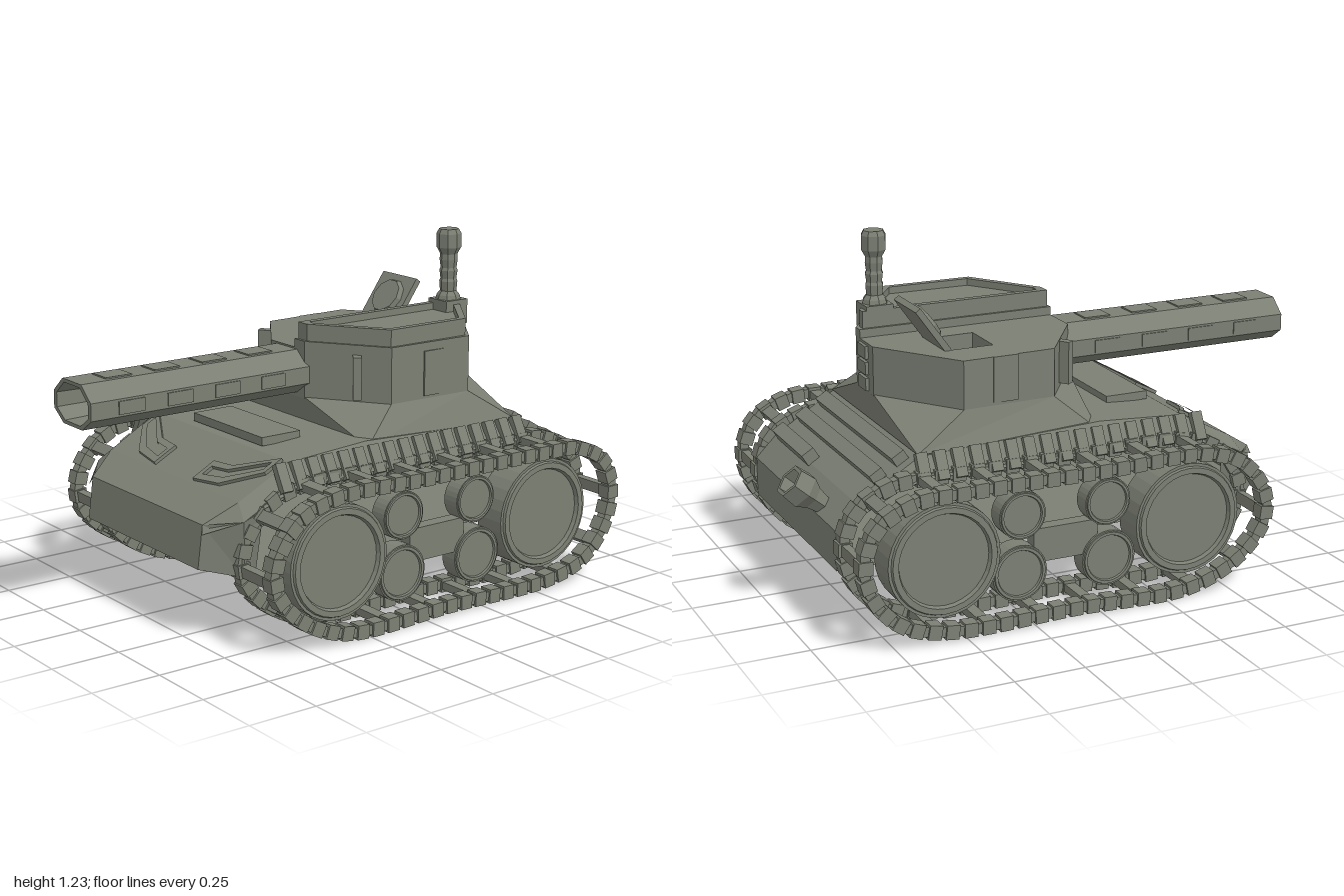
import * as THREE from 'three';

const solid = new THREE.MeshStandardMaterial({ color: 0x7b7f73, flatShading: true });
const shell = solid.clone();
shell.side = THREE.DoubleSide;

function add(parent, name, geometry, x = 0, y = 0, z = 0, material = solid) {
  const m = new THREE.Mesh(geometry, material);
  m.name = name;
  m.position.set(x, y, z);
  parent.add(m);
  return m;
}
const box = (parent, name, w, h, d, x, y, z) => add(parent, name, new THREE.BoxGeometry(w, h, d), x, y, z);

// Skin between successive rings of [x, y, z] points
function loft(rings, closed = true) {
  const n = rings[0].length, index = [];
  for (let r = 0; r + 1 < rings.length; r++)
    for (let i = 0; i < (closed ? n : n - 1); i++) {
      const j = (i + 1) % n, a = r * n + i, b = r * n + j;
      index.push(a, b, b + n, a, b + n, a + n);
    }
  const g = new THREE.BufferGeometry();
  g.setAttribute('position', new THREE.Float32BufferAttribute(rings.flat(2), 3));
  g.setIndex(index);
  g.computeVertexNormals();
  return g;
}

// Upright prism over an outline of [x, z] points, with an optional hole
function prism(outline, y0, y1, hole) {
  const pts = (list) => list.map(([x, z]) => new THREE.Vector2(x, -z));
  const shape = new THREE.Shape(pts(outline));
  if (hole) shape.holes.push(new THREE.Path(pts(hole)));
  return new THREE.ExtrudeGeometry(shape, { depth: y1 - y0, bevelEnabled: false })
    .rotateX(-Math.PI / 2).translate(0, y0, 0);
}

function buildHull(parent) {
  const hull = new THREE.Group();
  hull.name = 'hull';
  parent.add(hull);
  // Side outline as [x, y, half width], run once around the body
  const loop = [[0.78, 0.175, 0.33], [0.87, 0.21, 0.41], [0.87, 0.35, 0.41], [0.79, 0.43, 0.41],
    [0.66, 0.51, 0.41], [0.57, 0.565, 0.41], [-0.1, 0.595, 0.41], [-0.42, 0.575, 0.41], [-0.62, 0.47, 0.4],
    [-0.73, 0.4, 0.35], [-0.75, 0.25, 0.35], [-0.55, 0.2, 0.38], [0.78, 0.175, 0.33]];
  add(hull, 'hullShell', loft(loop.map(([x, y, w]) => [[x, y, w], [x, y, -w]]), false), 0, 0, 0, shell);
  // Flared skirts over the tracks and the nose cheeks
  const edge = [[0.87, 0.35, 0.41], [0.8, 0.4, 0.45], [0.67, 0.47, 0.46], [0.57, 0.5, 0.46], [-0.1, 0.5, 0.46],
    [-0.42, 0.5, 0.46], [-0.64, 0.42, 0.46], [-0.74, 0.37, 0.36]];
  for (const s of [1, -1]) {
    add(hull, 'skirt', loft(edge.map(([x, y, w], i) => {
      const [tx, ty, tw] = loop[i + 2];
      return [[tx, ty, s * tw], [x, y, s * w]];
    }), false), 0, 0, 0, shell);
    add(hull, 'noseCheek', loft([
      [[-0.73, 0.4, s * 0.35], [-0.75, 0.25, s * 0.35]],
      [[-0.64, 0.42, s * 0.46], [-0.64, 0.23, s * 0.46]],
      [[-0.56, 0.46, s * 0.46], [-0.57, 0.21, s * 0.42]]], false), 0, 0, 0, shell);
    for (let i = 0; i < 17; i++) {
      const fin = box(hull, 'skirtFin', 0.04, 0.1, 0.025, -0.47 + i * 0.065, 0.535, s * 0.44);
      fin.rotation.x = -s * 0.5;
    }
    // Framed vents on the sloping front plate
    const vent = add(hull, 'frontVent', prism(
      [[-0.08, s * 0.12], [-0.06, s * 0.25], [0.05, s * 0.38], [0.13, s * 0.38], [0.03, s * 0.22], [0.02, s * 0.12]], 0, 0.012,
      [[-0.05, s * 0.14], [-0.03, s * 0.24], [0.06, s * 0.36], [0.1, s * 0.36], [0.005, s * 0.22], [-0.005, s * 0.14]]),
    -0.54, 0.513, 0);
    vent.rotation.z = 0.48;
  }
  box(hull, 'deckPlate', 0.16, 0.03, 0.42, -0.31, 0.595, 0);
  // Rear racks
  for (const [x, y, w, z] of [[0.62, 0.55, 0.74, 0], [0.7, 0.5, 0.74, 0], [0.79, 0.455, 0.32, 0.205]])
    box(hull, 'rearRack', 0.05, 0.045, w, x, y, z).rotation.z = -0.55;
  // Hexagonal exhaust cup
  const cup = [[0.035, -0.1], [0.045, -0.05], [0.066, -0.01], [0.06, 0.05], [0.046, 0.05], [0.042, 0], [0, 0]];
  const exhaust = add(hull, 'exhaust',
    new THREE.LatheGeometry(cup.map((p) => new THREE.Vector2(...p)), 6), 0.917, 0.44, -0.205, shell);
  exhaust.rotation.z = -0.85;
}

function buildTurret(parent) {
  const turret = new THREE.Group();
  turret.name = 'turret';
  parent.add(turret);
  const half = [[-0.13, 0.1], [0.05, 0.36], [0.39, 0.37], [0.6, 0.08]];
  const mirror = (list) => list.map(([x, z]) => [x, -z]).reverse();
  const ring = [...half, ...mirror(half)];
  // Collar blending the faceted turret into a rectangular foot
  const foot = ring.map(([x, z], i) => [[0, 1, 6, 7].includes(i) ? -0.09 : 0.575, 0.57, Math.sign(z) * 0.41]);
  add(turret, 'collar', loft([foot, ring.map(([x, z]) => [x, 0.69, z])]), 0, 0, 0, shell);
  add(turret, 'lowerBody', prism(ring, 0.685, 0.76));
  add(turret, 'tallSide', prism([[-0.13, 0.04], ...half, [0.6, 0.04]], 0.76, 0.89));
  add(turret, 'lowSide', prism([[0.6, 0.04], ...mirror(half), [-0.13, 0.04]], 0.76, 0.86,
    [[0.22, -0.23], [0.4, -0.23], [0.4, -0.06], [0.22, -0.06]]));
  // Raised rim around a sunken roof panel
  const outer = [[-0.12, 0.05], [-0.12, 0.1], [0.055, 0.35], [0.385, 0.355], [0.585, 0.08], [0.585, 0.05]];
  const inner = [[-0.09, 0.075], [-0.09, 0.1], [0.07, 0.325], [0.375, 0.33], [0.55, 0.085], [0.55, 0.075]];
  add(turret, 'roofRim', prism(outer, 0.89, 0.95, inner));
  add(turret, 'roofPanel', prism(inner, 0.89, 0.925));
  // Open hatch lid
  const lid = new THREE.Group();
  lid.name = 'hatchLid';
  lid.position.set(0.44, 0.935, -0.138);
  lid.rotation.z = 0.95;
  turret.add(lid);
  box(lid, 'lidPlate', 0.19, 0.022, 0.195, 0, 0, 0);
  add(lid, 'lidBoss', new THREE.CylinderGeometry(0.065, 0.075, 0.02, 10), 0, 0.018, 0);
  // Side doors, vision blocks and rear steps
  for (const s of [1, -1]) {
    box(turret, 'sideDoor', 0.09, 0.16, 0.02, 0.235, 0.78, s * 0.36);
    const block = box(turret, 'visionBlock', 0.09, 0.15, 0.03, -0.02, 0.78, s * 0.255);
    block.rotation.y = s * 0.96;
  }
  for (const y of [0.715, 0.772, 0.828]) box(turret, 'rearStep', 0.02, 0.045, 0.075, 0.602, y, 0);
  // Ribbed periscope on a small block
  box(turret, 'periscopeBase', 0.1, 0.09, 0.1, 0.52, 0.92, 0.1);
  const mast = [[0, 0.95], [0.05, 0.95], [0.042, 0.98], [0.03, 0.995], [0.033, 1.03], [0.029, 1.04], [0.033, 1.07],
    [0.029, 1.08], [0.033, 1.11], [0.031, 1.13], [0.045, 1.155], [0.045, 1.205], [0.036, 1.222], [0, 1.222]];
  add(turret, 'periscope', new THREE.LatheGeometry(mast.map((p) => new THREE.Vector2(...p)), 8), 0.52, 0, 0.1);
}

function buildGun(parent) {
  const gun = new THREE.Group();
  gun.name = 'gun';
  gun.position.set(0, 0.777, -0.005);
  parent.add(gun);
  // Flattened octagonal barrel with a hollow muzzle
  const oct = [[0.077, 0.06], [0.025, 0.12], [-0.035, 0.12], [-0.077, 0.06]];
  const section = [...oct, ...oct.map(([y, z]) => [y, -z]).reverse()];
  const at = (x, k) => section.map(([y, z]) => [x, y * k, z * k]);
  add(gun, 'barrel', loft([at(-0.05, 1), at(-1, 1), at(-1, 0.84), at(-0.85, 0.78), at(-0.85, 0)]), 0, 0, 0, shell);
  for (let i = 0; i < 4; i++) {
    const x = -0.845 + i * 0.19;
    box(gun, 'topPlate', 0.1, 0.012, 0.085, x, 0.076, 0);
    for (const s of [1, -1]) box(gun, 'sidePlate', 0.1, 0.045, 0.01, x, -0.005, s * 0.119);
  }
}

function buildRunningGear(parent, s) {
  const gear = new THREE.Group();
  gear.name = s > 0 ? 'frontTrackUnit' : 'backTrackUnit';
  parent.add(gear);
  // Stepped wheels
  const wheel = (name, r, w, x, y, z) => {
    const p = [[0, 0.4], [0.8, 0.4], [0.83, 0.5], [0.93, 0.5], [0.95, 0.44], [1, 0.44]];
    const profile = [...p.map(([a, b]) => [a, -b]), ...p.reverse()];
    const g = new THREE.LatheGeometry(profile.map(([a, b]) => new THREE.Vector2(a * r, b * w)), 32);
    add(gear, name, g.rotateX(Math.PI / 2), x, y, s * z);
  };
  for (const x of [-0.35, 0.56]) wheel('mainWheel', 0.2, 0.14, x, 0.26, 0.53);
  for (const [x, y, r] of [[-0.055, 0.36, 0.085], [0.265, 0.36, 0.085], [-0.06, 0.155, 0.1], [0.275, 0.155, 0.1]])
    wheel('roadWheel', r, 0.075, x, y, 0.53);
  box(gear, 'bogie', 0.24, 0.12, 0.05, 0.1, 0.24, s * 0.53);

  // Track: two strips of links joined by cross bars
  const path = new THREE.CatmullRomCurve3([[-0.35, 0.025], [0.1, 0.025], [0.56, 0.025], [0.72, 0.07], [0.82, 0.17],
    [0.855, 0.3], [0.81, 0.42], [0.68, 0.49], [0.5, 0.5], [0, 0.5], [-0.4, 0.5], [-0.54, 0.45], [-0.63, 0.33],
    [-0.63, 0.22], [-0.54, 0.11]].map(([x, y]) => new THREE.Vector3(x, y, 0)), true, 'centripetal');
  const count = Math.round(path.getLength() / 0.065);
  for (let i = 0; i < count; i++) {
    const p = path.getPointAt(i / count), t = path.getTangentAt(i / count);
    const link = new THREE.Group();
    link.name = 'trackLink';
    link.position.set(p.x, p.y, s * 0.5275);
    link.rotation.z = Math.atan2(t.y, t.x);
    gear.add(link);
    for (const z of [-0.092, 0.092]) {
      box(link, 'linkBlock', 0.047, 0.05, 0.05, 0, 0, z);
      box(link, 'linkJoint', 0.03, 0.034, 0.036, 0.033, 0, z);
    }
    if (i % 3 === 0) box(link, 'crossBar', 0.04, 0.028, 0.15, 0, 0, 0);
  }
}

export function createModel() {
  const model = new THREE.Group();
  model.name = 'tank';
  buildHull(model);
  buildTurret(model);
  buildGun(model);
  for (const s of [1, -1]) buildRunningGear(model, s);
  return model;
}
